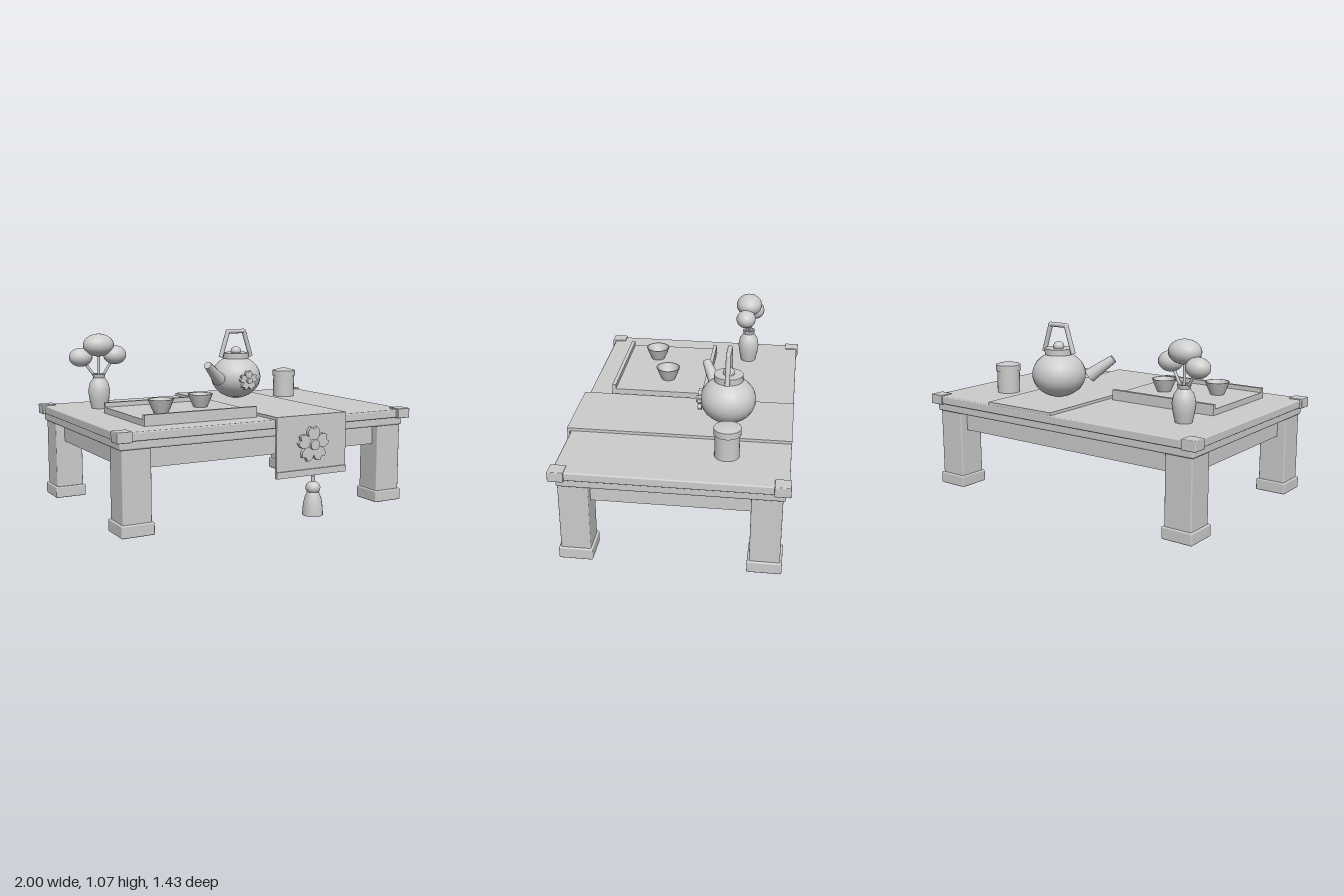
import * as THREE from 'three';
import { RoundedBoxGeometry } from 'three/addons/geometries/RoundedBoxGeometry.js';
import { toCreasedNormals } from 'three/addons/utils/BufferGeometryUtils.js';

const clay = new THREE.MeshStandardMaterial({ color: 0xcccccc });
clay.name = 'light grey';

function add(parent, name, geometry, x = 0, y = 0, z = 0) {
  const mesh = new THREE.Mesh(geometry, clay);
  mesh.name = name;
  mesh.position.set(x, y, z);
  parent.add(mesh);
  return mesh;
}

function group(parent, name, x = 0, y = 0, z = 0) {
  const g = new THREE.Group();
  g.name = name;
  g.position.set(x, y, z);
  parent.add(g);
  return g;
}

// Box given by its limits on each axis, with optionally softened edges
function box(parent, name, [x0, x1], [y0, y1], [z0, z1], r = 0) {
  const size = [x1 - x0, y1 - y0, z1 - z0];
  const geometry = r ? new RoundedBoxGeometry(...size, 2, r) : new THREE.BoxGeometry(...size);
  return add(parent, name, geometry, (x0 + x1) / 2, (y0 + y1) / 2, (z0 + z1) / 2);
}

// Turned shape from [radius, height] pairs, listed bottom to top
function turned(profile, segments = 24) {
  const points = profile.map(([r, y]) => new THREE.Vector2(r, y));
  return toCreasedNormals(new THREE.LatheGeometry(points, segments), 0.7);
}

// Tapered round bar between two points
function bar(parent, name, from, to, r0, r1 = r0, segments = 12) {
  const a = new THREE.Vector3(...from), b = new THREE.Vector3(...to);
  const dir = b.clone().sub(a);
  const mesh = add(parent, name, new THREE.CylinderGeometry(r1, r0, dir.length(), segments));
  mesh.position.copy(a).add(b).multiplyScalar(0.5);
  mesh.quaternion.setFromUnitVectors(new THREE.Vector3(0, 1, 0), dir.normalize());
  return mesh;
}

function ball(parent, name, x, y, z, rx, ry = rx, rz = rx) {
  return add(parent, name, new THREE.SphereGeometry(1, 24, 16), x, y, z).scale.set(rx, ry, rz);
}

// Five notched petals around a raised centre
function blossom(parent, name, x, y, z, radius, depth) {
  const g = group(parent, name, x, y, z);
  const shape = new THREE.Shape();
  for (let i = 0; i < 5; i++) {
    const turn = (i * Math.PI * 2) / 5;
    const p = (u, v) => [
      radius * (u * Math.cos(turn) - v * Math.sin(turn)),
      radius * (u * Math.sin(turn) + v * Math.cos(turn)),
    ];
    if (i === 0) shape.moveTo(...p(0.2, 0.3));
    else shape.lineTo(...p(0.2, 0.3));
    shape.bezierCurveTo(...p(0.42, 0.5), ...p(0.48, 0.8), ...p(0.2, 1));
    shape.lineTo(...p(0, 0.87));
    shape.lineTo(...p(-0.2, 1));
    shape.bezierCurveTo(...p(-0.48, 0.8), ...p(-0.42, 0.5), ...p(-0.2, 0.3));
  }
  add(g, 'petals', new THREE.ExtrudeGeometry(shape, { depth, bevelEnabled: false, curveSegments: 6 }));
  const disc = add(g, 'blossomCentre', new THREE.CylinderGeometry(radius * 0.3, radius * 0.3, depth * 1.7, 16));
  disc.rotation.x = Math.PI / 2;
  disc.position.z = depth * 0.85;
}

function buildTable(root) {
  const table = group(root, 'table');
  box(table, 'tableTop', [-0.985, 0.985], [0.538, 0.59], [-0.705, 0.617], 0.008);
  box(table, 'lowerSlab', [-0.97, 0.97], [0.488, 0.542], [-0.688, 0.6], 0.012);
  box(table, 'apron', [-0.9, 0.9], [0.37, 0.49], [-0.62, 0.54]);
  for (const side of [-1, 1]) {
    for (const end of [-1, 1]) {
      const x = side * 0.869, z = -0.04 + end * 0.546;
      box(table, 'leg', [x - 0.088, x + 0.088], [0.02, 0.5], [z - 0.088, z + 0.088], 0.008);
      box(table, 'foot', [x - 0.1, x + 0.1], [0, 0.073], [z - 0.1, z + 0.1], 0.008);
      const cx = side * 0.954, cz = -0.039 + end * 0.63;
      box(table, 'cornerCap', [cx - 0.046, cx + 0.046], [0.535, 0.597], [cz - 0.046, cz + 0.046], 0.005);
    }
  }
}

function buildRunner(root) {
  const runner = group(root, 'runner');
  box(runner, 'runnerTop', [0, 0.497], [0.588, 0.608], [-0.706, 0.64]);
  box(runner, 'runnerDrop', [0, 0.497], [0.24, 0.608], [0.626, 0.641]);
  box(runner, 'runnerHem', [0, 0.497], [0.24, 0.28], [0.632, 0.65]);
  blossom(runner, 'runnerBlossom', 0.25, 0.43, 0.641, 0.107, 0.023);

  const tassel = group(runner, 'tassel', 0.25, 0, 0.657);
  bar(tassel, 'tasselCord', [0, 0.19, 0], [0, 0.24, 0], 0.013);
  ball(tassel, 'tasselHead', 0, 0.167, 0, 0.045, 0.04, 0.045);
  add(tassel, 'tasselSkirt', turned([[0, 0], [0.063, 0], [0.06, 0.05], [0.052, 0.1], [0.035, 0.145], [0, 0.145]], 18));
}

function buildTray(root) {
  const tray = group(root, 'tray');
  box(tray, 'trayBase', [-0.765, -0.032], [0.59, 0.627], [-0.143, 0.467]);
  box(tray, 'frontRail', [-0.765, -0.032], [0.6, 0.655], [0.444, 0.468]);
  box(tray, 'backRail', [-0.765, -0.032], [0.6, 0.655], [-0.144, -0.12]);
  const cup = turned([[0, 0], [0.044, 0], [0.06, 0.035], [0.078, 0.081], [0.071, 0.081], [0.054, 0.036], [0.036, 0.012], [0, 0.012]]);
  for (const [x, z] of [[-0.56, 0.247], [-0.237, 0.13]]) add(tray, 'cup', cup, x, 0.627, z);
}

function buildTeapot(root) {
  const pot = group(root, 'teapot', 0.265, 0, -0.308);
  ball(pot, 'potBody', 0, 0.748, 0, 0.169, 0.143, 0.169);
  add(pot, 'lid', new THREE.CylinderGeometry(0.088, 0.088, 0.038, 24), 0, 0.894, 0);
  ball(pot, 'lidKnob', 0, 0.925, 0, 0.035, 0.03, 0.035);
  bar(pot, 'spout', [-0.175, 0.742, 0.085], [-0.305, 0.853, 0.165], 0.044, 0.026);
  // Angular arched handle
  const arch = [[-0.117, 0.885, 0], [-0.062, 1.058, 0], [0.062, 1.058, 0], [0.117, 0.885, 0]];
  for (let i = 0; i < 3; i++) bar(pot, 'handle', arch[i], arch[i + 1], 0.015);
  for (const i of [1, 2]) ball(pot, 'handleCorner', ...arch[i], 0.015);
  blossom(pot, 'potBlossom', 0, 0.737, 0.158, 0.065, 0.022);
}

function buildCanister(root) {
  const canister = group(root, 'canister', 0.673, 0, -0.338);
  add(canister, 'canisterBody', new THREE.CylinderGeometry(0.073, 0.073, 0.15, 24), 0, 0.665, 0);
  add(canister, 'canisterLid', turned([[0, 0.732], [0.08, 0.732], [0.08, 0.771], [0, 0.792]]));
}

function buildVase(root) {
  const vase = group(root, 'flowerVase', -0.706, 0, -0.37);
  add(vase, 'vase', turned([
    [0, 0.588], [0.05, 0.588], [0.062, 0.64], [0.07, 0.7], [0.06, 0.75], [0.036, 0.785], [0.042, 0.81], [0.03, 0.81], [0.026, 0.785], [0, 0.78],
  ]));
  // Centre of each bloom, its width, height and depth radii
  const blooms = [
    [0, 0.993, 0.003, 0.1, 0.072, 0.086],
    [-0.108, 0.917, -0.032, 0.075, 0.06, 0.065],
    [0.104, 0.928, 0.017, 0.075, 0.06, 0.065],
  ];
  for (const [x, y, z, ...radii] of blooms) {
    bar(vase, 'stem', [x * 0.1, 0.77, 0], [x, y, z], 0.009, 0.009, 8);
    ball(vase, 'bloom', x, y, z, ...radii);
  }
}

export function createModel() {
  const root = new THREE.Group();
  root.name = 'teaTable';
  for (const build of [buildTable, buildRunner, buildTray, buildTeapot, buildCanister, buildVase]) build(root);
  return root;
}
